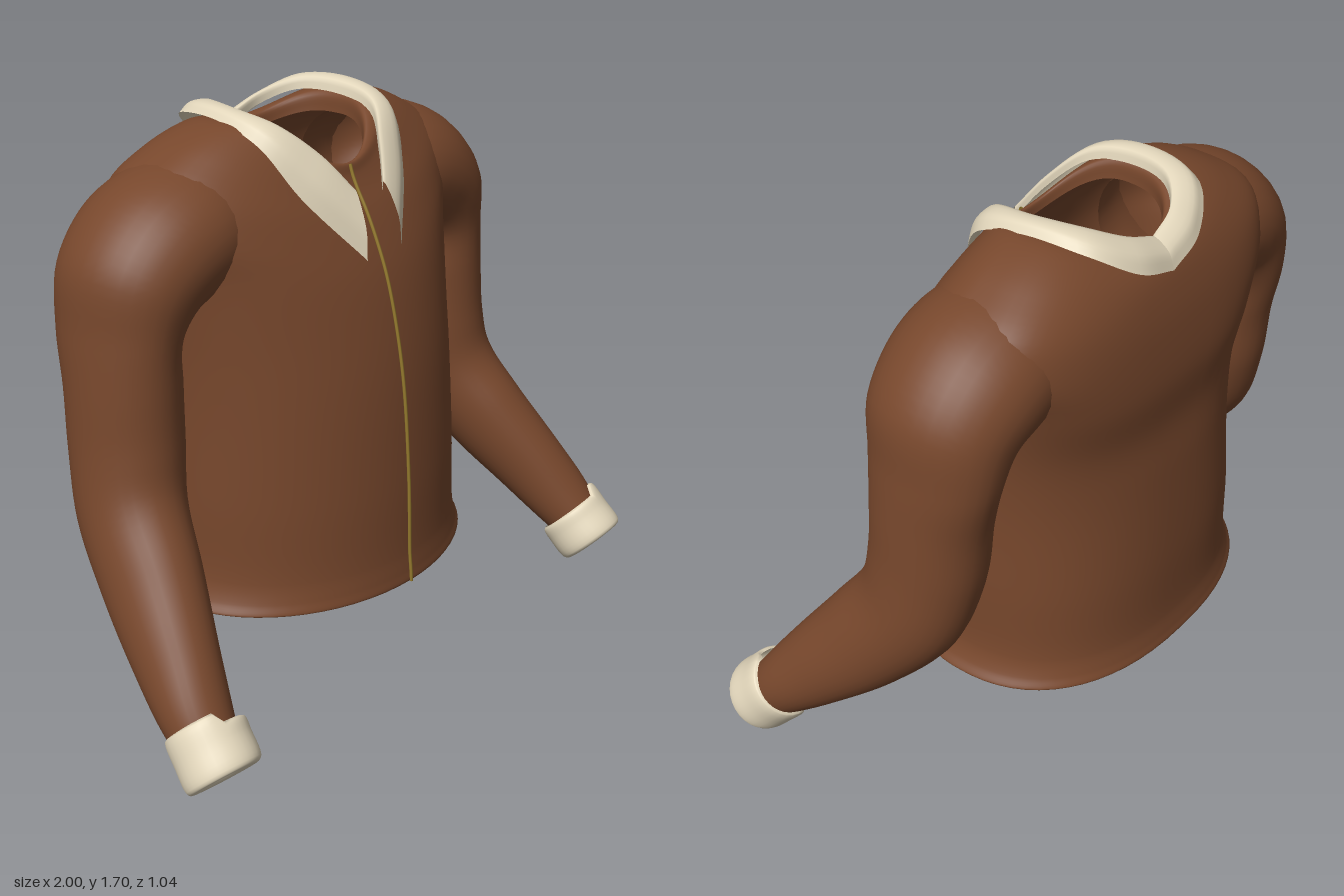
import * as THREE from 'three';

const mat = (name, color) => {
  const m = new THREE.MeshStandardMaterial({ color, side: THREE.DoubleSide });
  m.name = name;
  return m;
};
const V = (p) => new THREE.Vector3(p[0], p[1], p[2]);

// Smooth skin through a list of rings (or open strips) with equal point counts
function loft(rings, steps, closed) {
  const cols = rings[0].length;
  const pos = [], idx = [];
  const curves = rings[0].map((_, j) => new THREE.CatmullRomCurve3(rings.map((r) => r[j])));
  for (let i = 0; i <= steps; i++) {
    for (const c of curves) pos.push(...c.getPoint(i / steps).toArray());
  }
  const span = closed ? cols : cols - 1;
  for (let i = 0; i < steps; i++) {
    for (let j = 0; j < span; j++) {
      const k = (j + 1) % cols;
      const a = i * cols + j, b = i * cols + k, c = a + cols, d = b + cols;
      idx.push(a, c, b, b, c, d);
    }
  }
  const g = new THREE.BufferGeometry();
  g.setAttribute('position', new THREE.Float32BufferAttribute(pos, 3));
  g.setIndex(idx);
  g.computeVertexNormals();
  return g;
}

// Torso ring: half width, side height, front z and y, back z and y, squareness of the back
function torsoRing([w, sy, fz, fy, bz, by, backPow = 0.85]) {
  const mid = (fz + bz) / 2, half = (fz - bz) / 2, out = [];
  for (let j = 0; j < 64; j++) {
    const t = (j / 64) * Math.PI * 2, c = Math.cos(t), s = Math.sin(t);
    const e = s < 0 ? backPow : 1;
    const pw = (v) => Math.sign(v) * Math.pow(Math.abs(v), e);
    const drop = Math.pow(Math.abs(s), 2.5);
    out.push(new THREE.Vector3(w * pw(c), sy + ((s > 0 ? fy : by) - sy) * drop, mid + half * pw(s)));
  }
  return out;
}

// Elliptical rings along a path: each row is x, y, z, sideways radius, front-back radius
function sweepRings(rows, side, fixedDir) {
  const n = rows.length;
  return rows.map((row, i) => {
    const T = fixedDir ? V(fixedDir)
      : V(rows[Math.min(i + 1, n - 1)]).sub(V(rows[Math.max(i - 1, 0)]));
    T.normalize();
    const b = new THREE.Vector3(0, 0, 1).addScaledVector(T, -T.z).normalize();
    const a = new THREE.Vector3().crossVectors(b, T);
    const ring = [];
    for (let j = 0; j < 32; j++) {
      const t = (j / 32) * Math.PI * 2;
      const p = V(row).addScaledVector(a, Math.cos(t) * row[3]).addScaledVector(b, Math.sin(t) * row[4]);
      p.x *= side;
      ring.push(p);
    }
    return ring;
  });
}

export function createModel() {
  const model = new THREE.Group();
  model.name = 'jacket';
  const brown = mat('brown fabric', 0x77472c);
  const cream = mat('cream trim', 0xe2d6bb);
  const brass = mat('zip brass', 0x957a2e);
  const add = (name, geo, m) => {
    const mesh = new THREE.Mesh(geo, m);
    mesh.name = name;
    model.add(mesh);
  };

  // Body from the turned-in hem up to the neck opening
  const body = [
    [0.545, 0.285, 0.335, 0.285, -0.495, 0.285],
    [0.57, 0.28, 0.355, 0.275, -0.52, 0.28],
    [0.55, 0.31, 0.353, 0.31, -0.515, 0.31],
    [0.53, 0.37, 0.347, 0.37, -0.505, 0.37],
    [0.525, 0.6, 0.338, 0.6, -0.5, 0.6],
    [0.52, 0.9, 0.312, 0.9, -0.48, 0.9],
    [0.53, 1.1, 0.28, 1.08, -0.466, 1.06, 0.78],
    [0.56, 1.3, 0.24, 1.23, -0.475, 1.22, 0.68],
    [0.6, 1.42, 0.195, 1.34, -0.46, 1.36, 0.64],
    [0.58, 1.525, 0.16, 1.41, -0.44, 1.45, 0.66],
    [0.46, 1.61, 0.13, 1.46, -0.41, 1.53, 0.75],
    [0.34, 1.66, 0.11, 1.5, -0.38, 1.57],
    [0.28, 1.67, 0.1, 1.53, -0.35, 1.59],
    [0.215, 1.655, 0.09, 1.53, -0.325, 1.585],
    [0.205, 1.6, 0.085, 1.5, -0.32, 1.55],
  ].map(torsoRing);
  add('body', loft(body, 84, true), brown);

  // Zip down the centre front
  const zipLine = new THREE.CatmullRomCurve3(
    body.slice(1, 13).map((r) => r[16].clone().add(new THREE.Vector3(0, 0, 0.004))));
  add('zip', new THREE.TubeGeometry(zipLine, 80, 0.0055, 6), brass);

  const arm = [
    [0.3, 1.4, -0.15, 0.19, 0.21],
    [0.44, 1.395, -0.152, 0.2, 0.238],
    [0.55, 1.355, -0.152, 0.198, 0.238],
    [0.635, 1.275, -0.15, 0.182, 0.222],
    [0.672, 1.15, -0.15, 0.147, 0.203],
    [0.68, 1.0, -0.135, 0.15, 0.185],
    [0.69, 0.82, -0.12, 0.152, 0.178],
    [0.72, 0.65, -0.075, 0.145, 0.17],
    [0.77, 0.49, 0.05, 0.132, 0.157],
    [0.83, 0.33, 0.2, 0.115, 0.13],
    [0.872, 0.2, 0.325, 0.1, 0.1],
    [0.893, 0.087, 0.434, 0.066, 0.07],
  ];
  // Cuff: outer sleeve and rolled lip closing down to the sleeve end
  const cuff = [
    [0.868, 0.2, 0.33, 0.1, 0.104],
    [0.87, 0.195, 0.335, 0.11, 0.113],
    [0.878, 0.14, 0.385, 0.115, 0.116],
    [0.888, 0.09, 0.433, 0.112, 0.114],
    [0.892, 0.082, 0.441, 0.1, 0.104],
    [0.893, 0.083, 0.44, 0.08, 0.083],
    [0.893, 0.087, 0.436, 0.065, 0.069],
  ];
  const cuffNotch = new THREE.Vector3(0, -0.024, 0.024);

  // Half collar: neck edge and outer edge, from centre back to the front point
  const neckEdge = [[0, 1.61, -0.35], [0.1, 1.65, -0.335], [0.185, 1.69, -0.26], [0.22, 1.692, -0.12],
    [0.2, 1.665, 0.015], [0.125, 1.58, 0.11], [0.06, 1.48, 0.178]];
  const outerEdge = [[0, 1.53, -0.423], [0.13, 1.575, -0.41], [0.25, 1.655, -0.325], [0.29, 1.672, -0.14],
    [0.285, 1.62, 0.02], [0.222, 1.48, 0.118], [0.075, 1.29, 0.236]];
  const centre = new THREE.Vector3(0, 1.4, -0.12);

  for (const side of [1, -1]) {
    const label = side > 0 ? 'left' : 'right';
    add(label + 'Sleeve', loft(sweepRings(arm, side), 66, true), brown);

    // The upper edge of the cuff steps down on the inner half
    const cuffRings = sweepRings(cuff, side, [0.1, -0.7, 0.7]);
    for (const ring of cuffRings.slice(0, 2)) {
      for (let j = 7; j < 24; j++) ring[j].add(cuffNotch);
    }
    add(label + 'Cuff', loft(cuffRings, 30, true), cream);

    const strips = neckEdge.map((p, i) => {
      const inner = V(p), outer = V(outerEdge[i]);
      const bulge = inner.clone().lerp(outer, 0.5);
      bulge.addScaledVector(bulge.clone().sub(centre).normalize(), 0.02);
      const stand = inner.clone().add(new THREE.Vector3(-p[0] * 0.05, -0.035, 0));
      const row = new THREE.CatmullRomCurve3([stand, inner, bulge, outer]).getPoints(12);
      row.forEach((q) => { q.x *= side; });
      return row;
    });
    add(label + 'Collar', loft(strips, 36, false), cream);
  }
  return model;
}
